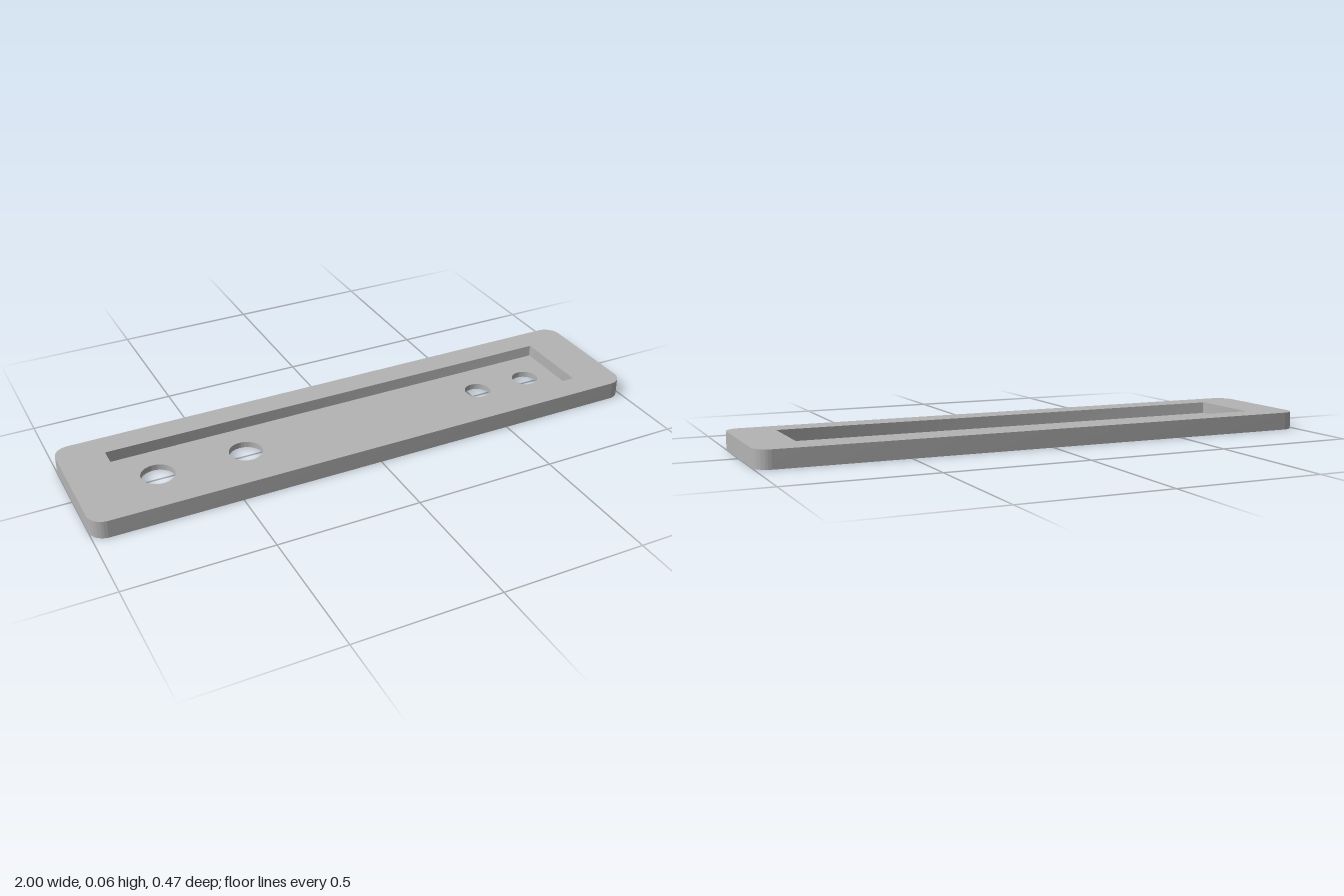
import * as THREE from 'three';
import { toCreasedNormals } from 'three/addons/utils/BufferGeometryUtils.js';

const HEIGHT = 0.0625, FLOOR = 0.021;
// [x centre, radius] of each through hole
const HOLES = [[-0.71, 0.058], [-0.397, 0.058], [0.522, 0.047], [0.728, 0.047]];

// Counter-clockwise rectangle with rounded corners
function roundedRect(hx, hy, r) {
  const s = new THREE.Shape();
  [[1, 1], [-1, 1], [-1, -1], [1, -1]].forEach(([sx, sy], i) => {
    s.absarc(sx * (hx - r), sy * (hy - r), r, i * Math.PI / 2, (i + 1) * Math.PI / 2, false);
  });
  s.closePath();
  return s;
}

function circle([x, r]) {
  return new THREE.Shape().absarc(x, 0, r, 0, Math.PI * 2, false);
}

// Horizontal face at height y, looking up or down
function face(outline, holes, y, down = false) {
  const shape = outline.clone();
  shape.holes = holes;
  const g = new THREE.ShapeGeometry(shape, 20).rotateX(-Math.PI / 2);
  if (down) {
    g.index.array.reverse();
    g.computeVertexNormals();
  }
  return g.translate(0, y, 0);
}

// Vertical wall along an outline, facing outwards or inwards
function wall(outline, y0, y1, inward = false) {
  const pts = outline.getPoints(20);
  if (inward) pts.reverse();
  const pos = [];
  for (let i = 0; i < pts.length - 1; i++) {
    const a = pts[i], b = pts[i + 1];
    if (a.distanceTo(b) < 1e-6) continue;
    pos.push(a.x, y0, -a.y, b.x, y0, -b.y, b.x, y1, -b.y);
    pos.push(a.x, y0, -a.y, b.x, y1, -b.y, a.x, y1, -a.y);
  }
  const g = new THREE.BufferGeometry();
  g.setAttribute('position', new THREE.Float32BufferAttribute(pos, 3));
  return toCreasedNormals(g, 0.5);
}

export function createModel() {
  const group = new THREE.Group();
  group.name = 'recessedPlate';
  const grey = new THREE.MeshStandardMaterial({ color: 0xb4b4b4 });
  grey.name = 'grey';
  const add = (name, geometry) => {
    const mesh = new THREE.Mesh(geometry, grey);
    mesh.name = name;
    group.add(mesh);
  };

  const outer = roundedRect(1, 0.235, 0.055);
  const pocket = roundedRect(0.843, 0.141, 0.005);
  const holes = HOLES.map(circle);

  // Plate body
  add('underside', face(outer, holes, 0, true));
  add('outerWall', wall(outer, 0, HEIGHT));
  add('rim', face(outer, [pocket], HEIGHT));

  // Recessed pocket
  add('pocketWall', wall(pocket, FLOOR, HEIGHT, true));
  add('pocketFloor', face(pocket, holes, FLOOR));

  // Through holes
  holes.forEach((h) => add('screwHole', wall(h, 0, FLOOR, true)));
  return group;
}
